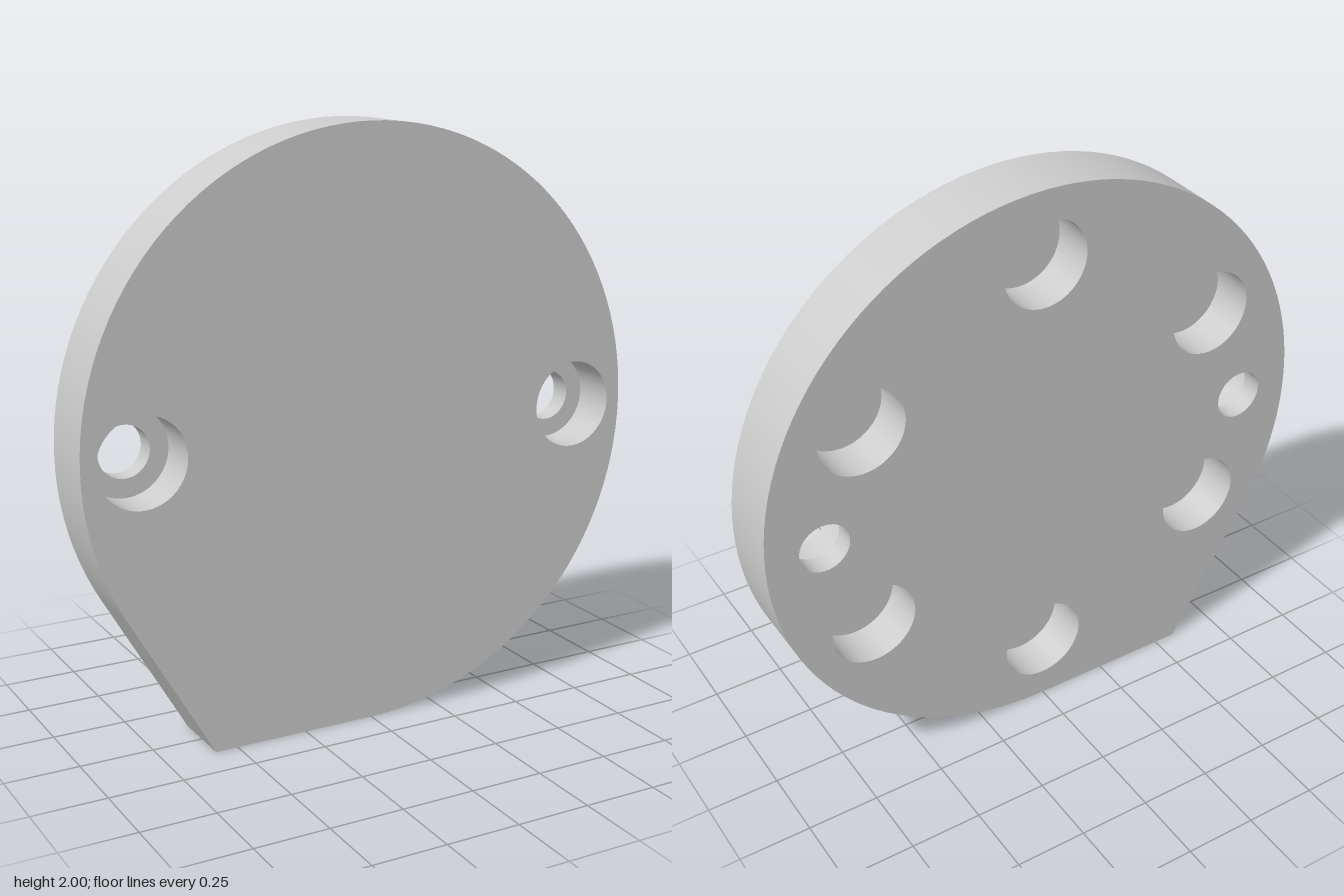
import * as THREE from 'three';

const H = 0.115;          // half thickness
const DEPTH = 0.155;      // depth of counterbores and blind pockets
const BORE = 0.15, SCREW = 0.087;
const CORNER = Math.tan(Math.PI / 6); // tangent length from disc to pointed corner
const SEG = 100;

const screwSpots = [[-0.8, 0], [0.8, 0]];
const pocketSpots = Array.from({ length: 6 }, (_, i) => {
  const a = Math.PI / 6 + i * Math.PI / 3;
  return [0.75 * Math.cos(a), 0.75 * Math.sin(a)];
});

// Turn a geometry inside out
function flip(geo) {
  const idx = geo.index.array, n = geo.attributes.normal.array;
  for (let i = 0; i < idx.length; i += 3) [idx[i], idx[i + 1]] = [idx[i + 1], idx[i]];
  for (let i = 0; i < n.length; i++) n[i] = -n[i];
  return geo;
}

export function createModel() {
  const group = new THREE.Group();
  group.name = 'mountingDisc';
  const material = new THREE.MeshStandardMaterial({ color: 0xcccccc });

  function add(parent, name, geo, x = 0, y = 0, z = 0) {
    const mesh = new THREE.Mesh(geo, material);
    mesh.name = name;
    mesh.position.set(x, y, z);
    parent.add(mesh);
  }

  // Plate outline: a disc whose two tangents meet in a corner at lower -x
  function face(holes) {
    const s = new THREE.Shape();
    s.moveTo(-CORNER, -1);
    s.lineTo(0, -1);
    s.absarc(0, 0, 1, -Math.PI / 2, Math.PI * 7 / 6, false);
    s.closePath();
    for (const [x, y, r] of holes) {
      s.holes.push(new THREE.Path().absarc(x, y, r, 0, Math.PI * 2, true));
    }
    return new THREE.ShapeGeometry(s, SEG / 2);
  }

  // Inward-facing round wall between two depths
  function holeWall(r, z0, z1) {
    const g = new THREE.CylinderGeometry(r, r, z1 - z0, SEG, 1, true);
    return flip(g.rotateX(Math.PI / 2).translate(0, 0, (z0 + z1) / 2));
  }

  const body = new THREE.Group();
  body.name = 'plate';
  body.position.y = 1;
  group.add(body);

  // Front and back faces
  add(body, 'frontFace', face(screwSpots.map(p => [...p, BORE])), 0, 0, H);
  add(body, 'backFace', flip(face([
    ...screwSpots.map(p => [...p, SCREW]),
    ...pocketSpots.map(p => [...p, BORE]),
  ])), 0, 0, -H);

  // Rim: round part plus the two flats that form the corner
  add(body, 'roundRim', new THREE.CylinderGeometry(1, 1, 2 * H, SEG, 1, true, 0, Math.PI * 5 / 3)
    .rotateX(Math.PI / 2));
  const flat = side => new THREE.PlaneGeometry(CORNER, 2 * H)
    .rotateX(Math.PI / 2).translate(side * CORNER / 2, -1, 0);
  add(body, 'bottomFlat', flat(-1));
  add(body, 'slantedFlat', flat(1).rotateZ(-Math.PI / 3));

  // Counterbored screw holes, open to the front
  for (const [x, y] of screwSpots) {
    const step = H - DEPTH;
    add(body, 'counterboreWall', holeWall(BORE, step, H), x, y);
    add(body, 'counterboreStep', new THREE.RingGeometry(SCREW, BORE, SEG), x, y, step);
    add(body, 'screwHoleWall', holeWall(SCREW, -H, step), x, y);
  }

  // Blind pockets in the back
  for (const [x, y] of pocketSpots) {
    const floor = DEPTH - H;
    add(body, 'pocketWall', holeWall(BORE, -H, floor), x, y);
    add(body, 'pocketFloor', flip(new THREE.CircleGeometry(BORE, SEG)), x, y, floor);
  }
  return group;
}
